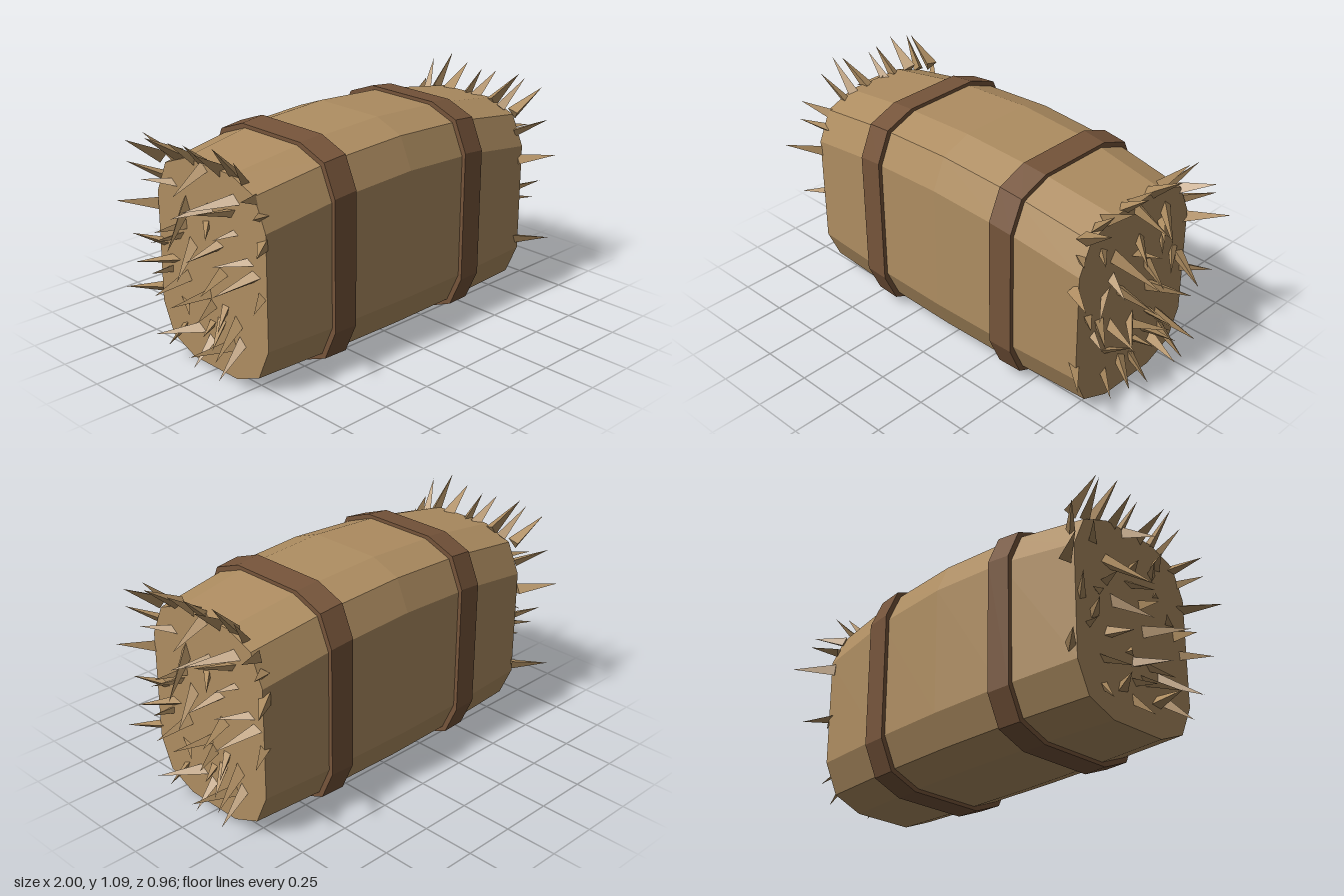
import * as THREE from 'three';

const straw = new THREE.MeshStandardMaterial({ color: 0xae8d61 });
straw.name = 'straw';
const strapBrown = new THREE.MeshStandardMaterial({ color: 0x75543a });
strapBrown.name = 'strapBrown';

// Twelve-sided bale outline at a given x, bulging toward the middle.
// Runs along the bottom from front to back, up the back, over the top, down the front.
function ring(x, grow = 0) {
  const t = (x / 0.81) ** 2;
  const front = 0.402 - 0.03 * t + grow, back = -0.38 + 0.035 * t - grow;
  const top = 1.03 - 0.08 * t + grow * 0.8, low = 0.02 - grow;
  const p = [
    [front - 0.21, low], [back + 0.21, low], [back + 0.065, low + 0.06], [back, low + 0.205],
    [back, top - 0.2], [back + 0.065, top - 0.055], [back + 0.21, top], [front - 0.21, top],
    [front - 0.065, top - 0.055], [front, top - 0.2], [front, low + 0.205], [front - 0.065, low + 0.06],
  ];
  return p.map(([z, y]) => new THREE.Vector3(x, y, z));
}

// Flat-shaded skin over consecutive rings, optionally closed at both ends.
function loft(rings, capped) {
  const pts = [], n = rings[0].length;
  for (let i = 0; i < rings.length - 1; i++) {
    for (let j = 0; j < n; j++) {
      const k = (j + 1) % n;
      const a = rings[i][j], b = rings[i][k], c = rings[i + 1][k], d = rings[i + 1][j];
      pts.push(a, b, c, a, c, d);
    }
  }
  if (capped) {
    const first = rings[0], last = rings[rings.length - 1];
    for (let j = 1; j < n - 1; j++) {
      pts.push(last[0], last[j], last[j + 1], first[0], first[j + 1], first[j]);
    }
  }
  const geo = new THREE.BufferGeometry().setFromPoints(pts);
  geo.computeVertexNormals();
  return geo;
}

// Loose straws as root z, root y, tip z, tip y in hundredths.
const rimStraws = [
  25, 92, 29, 105, 19, 94, 22, 105, 9, 94, 10, 105, 3, 94, 3, 105, -8, 94, -10, 105,
  -17, 94, -18, 109, -22, 92, -28, 105, -29, 87, -37, 92, -33, 81, -41, 85, -34, 70, -48, 72,
  -32, 46, -42, 45, 34, 82, 45, 88, 37, 68, 48, 70, 36, 28, 48, 28, 33, 91, 36, 101,
];
const faceStraws = [
  21, 81, 33, 83, 16, 76, 5, 60, -3, 77, 9, 72, 3, 70, -8, 66, -20, 85, -3, 79, -18, 79, -4, 77,
  -20, 71, -10, 66, -8, 62, -2, 56, -29, 60, -13, 56, -31, 55, -23, 48, 15, 65, 22, 62,
  16, 60, 32, 53, 12, 58, 3, 46, 29, 51, 41, 56, -8, 49, -17, 47, 22, 46, 35, 45, 26, 41, 31, 39,
  15, 41, 18, 35, -1, 38, 14, 29, 22, 28, 7, 26, 0, 32, -9, 31, -9, 35, -16, 27, -17, 30, -24, 19,
  -6, 27, -16, 20, 18, 18, 22, 7, 6, 18, 20, 16, 0, 17, 0, 5, -15, 18, -8, 16, -20, 22, -21, 8,
  0, 24, -5, 21, 2, 94, 1, 85,
];

// Three-sided spikes splaying out of one end.
function strawTuft(list, reach, spread) {
  const tuft = new THREE.Group();
  const up = new THREE.Vector3(0, 1, 0);
  for (let i = 0; i < list.length; i += 4) {
    const [rz, ry, tz, ty] = list.slice(i, i + 4).map((v) => v / 100);
    const vary = ((i / 4) * 0.618 + 0.3) % 1;
    const root = new THREE.Vector3(0.785, ry, rz);
    const tip = new THREE.Vector3(reach + spread * vary, ty, tz);
    const dir = tip.clone().sub(root);
    const geo = new THREE.ConeGeometry(0.022 + 0.014 * vary, dir.length(), 3).toNonIndexed();
    geo.computeVertexNormals();
    geo.rotateY(i * 1.3);
    const spike = new THREE.Mesh(geo, straw);
    spike.name = 'straw';
    spike.position.copy(root).add(tip).multiplyScalar(0.5);
    spike.quaternion.setFromUnitVectors(up, dir.normalize());
    tuft.add(spike);
  }
  return tuft;
}

export function createModel() {
  const model = new THREE.Group();
  model.name = 'hayBale';

  const body = new THREE.Mesh(loft([-0.81, -0.4, 0, 0.4, 0.81].map((x) => ring(x)), true), straw);
  body.name = 'baleBody';
  model.add(body);

  // Two raised bands around the bale
  for (const [name, x] of [['leftStrap', 0.405], ['rightStrap', -0.405]]) {
    const a = x - 0.06, b = x + 0.06;
    const geo = loft([ring(a, -0.01), ring(a, 0.018), ring(b, 0.018), ring(b, -0.01)], false);
    const strap = new THREE.Mesh(geo, strapBrown);
    strap.name = name;
    model.add(strap);
  }

  // The same frayed straw on both ends, turned half round
  for (const [name, turn] of [['leftStraw', 0], ['rightStraw', Math.PI]]) {
    const end = new THREE.Group();
    end.name = name;
    end.add(strawTuft(rimStraws, 0.89, 0.07), strawTuft(faceStraws, 0.87, 0.13));
    end.rotation.y = turn;
    model.add(end);
  }
  return model;
}
